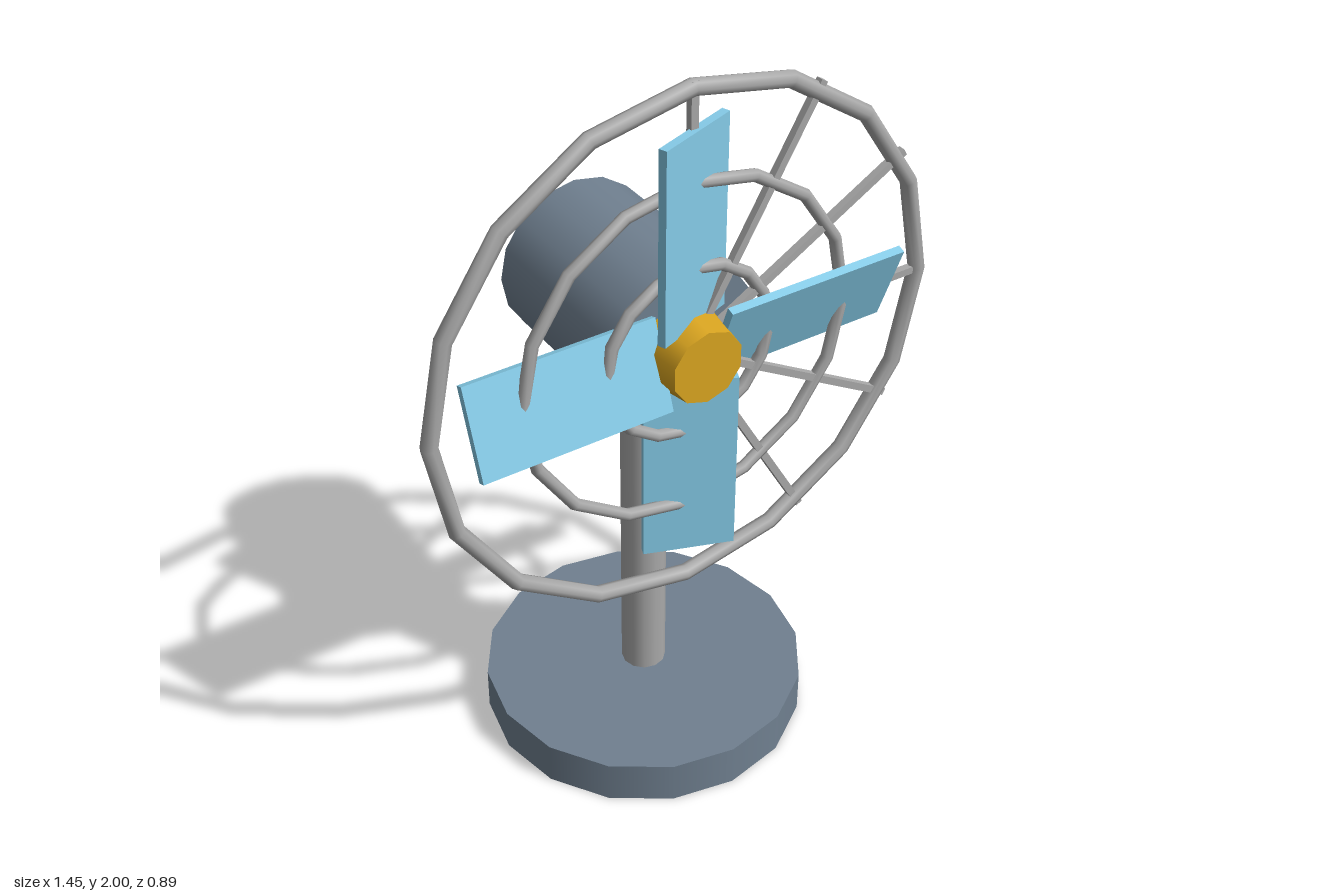
import * as THREE from 'three';

export function createModel() {
  const fan = new THREE.Group();
  fan.name = 'deskFan';

  const mat = (name, color) => {
    const m = new THREE.MeshStandardMaterial({ color });
    m.name = name;
    return m;
  };
  const slate = mat('slate', 0x708090);
  const steel = mat('steel', 0xa9a9a9);
  const sky = mat('skyBlue', 0x87ceeb);
  const gold = mat('gold', 0xdaa520);

  const add = (parent, name, geometry, material, x = 0, y = 0, z = 0) => {
    const mesh = new THREE.Mesh(geometry, material);
    mesh.name = name;
    mesh.position.set(x, y, z);
    parent.add(mesh);
    return mesh;
  };

  const axisY = 1.275;

  // Stand
  add(fan, 'base', new THREE.CylinderGeometry(0.443, 0.443, 0.122, 16), slate, 0, 0.061, 0);
  add(fan, 'pole', new THREE.CylinderGeometry(0.061, 0.061, 1.0, 12), steel, 0, 0.61, 0);

  // Motor housing, lying along z
  const motor = new THREE.CylinderGeometry(0.221, 0.221, 0.485, 16).rotateX(Math.PI / 2);
  add(fan, 'motorHousing', motor, slate, 0, axisY, -0.08);

  // Guard: three concentric rings
  const guard = new THREE.Group();
  guard.name = 'guard';
  guard.position.set(0, axisY, 0.2);
  fan.add(guard);
  [[0.703, 0.022], [0.464, 0.0165], [0.235, 0.0165]].forEach(([radius, tube], i) => {
    add(guard, `guardRing${i + 1}`, new THREE.TorusGeometry(radius, tube, 8, 16), steel);
  });

  // Guard spokes fan out over one side only, from top clockwise
  for (let i = 0; i < 6; i++) {
    const spoke = new THREE.BoxGeometry(0.02, 0.72, 0.02).translate(0, 0.36, 0);
    add(guard, `guardSpoke${i + 1}`, spoke, steel).rotation.z = -i * Math.PI / 6;
  }

  // Four pitched blades
  const rotor = new THREE.Group();
  rotor.name = 'rotor';
  rotor.position.set(0, axisY, 0.21);
  fan.add(rotor);
  for (let i = 0; i < 4; i++) {
    const blade = new THREE.BoxGeometry(0.24, 0.52, 0.022).rotateY(0.35).translate(0, 0.343, 0);
    add(rotor, `blade${i + 1}`, blade, sky).rotation.z = -i * Math.PI / 2;
  }

  // Tapered hub cap
  const hub = new THREE.CylinderGeometry(0.1, 0.118, 0.122, 10).rotateX(Math.PI / 2);
  add(rotor, 'hub', hub, gold, 0, 0, 0.012);

  return fan;
}
